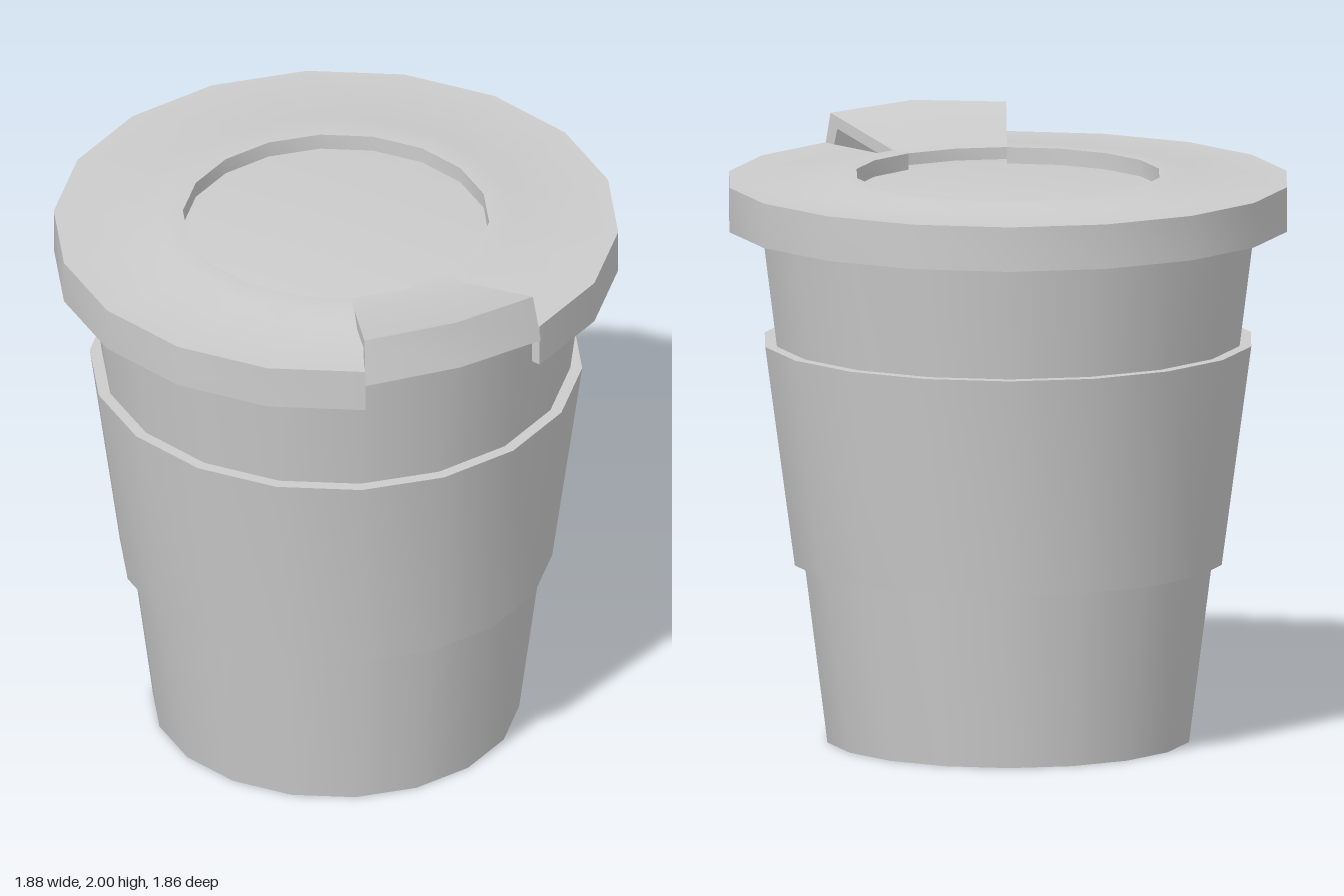
import * as THREE from 'three';
import { mergeGeometries, toCreasedNormals } from 'three/addons/utils/BufferGeometryUtils.js';

const SIDES = 18;
const STEP = (Math.PI * 2) / SIDES;
const CREASE = THREE.MathUtils.degToRad(32);
const material = new THREE.MeshStandardMaterial({ color: 0xcccccc, side: THREE.DoubleSide });

const toPoints = (list) => list.map(([r, y]) => new THREE.Vector2(r, y));

function bare(geometry) {
  const g = geometry.toNonIndexed();
  g.deleteAttribute('normal');
  g.deleteAttribute('uv');
  return g;
}

// Full revolution, profile listed with the outside on its right
function turned(profile) {
  return bare(new THREE.LatheGeometry(toPoints(profile), SIDES, Math.PI / 2));
}

// Part revolution of a closed profile, with both cut ends capped
function wedge(profile, start, segments) {
  const points = toPoints(profile);
  const length = segments * STEP;
  const body = new THREE.LatheGeometry([...points, points[0]], segments, start, length);
  const caps = [start, start + length].map((phi, i) => {
    const cap = new THREE.ShapeGeometry(new THREE.Shape(points));
    if (i === 1) cap.setIndex(Array.from(cap.index.array).reverse());
    return cap.rotateY(phi - Math.PI / 2);
  });
  return mergeGeometries([body, ...caps].map(bare));
}

export function createModel() {
  const group = new THREE.Group();
  const add = (name, geometry) => {
    const mesh = new THREE.Mesh(toCreasedNormals(geometry, CREASE), material);
    mesh.name = name;
    mesh.position.z = -0.01;
    group.add(mesh);
  };

  // Tapered cup with a recessed underside
  add('cup', turned([
    [0, 0.095], [0.575, 0.095], [0.575, 0], [0.61, 0], [0.835, 1.77], [0.79, 1.77],
  ]));

  // Grip band around the middle
  add('sleeve', turned([
    [0.68, 0.6], [0.72, 0.6], [0.82, 1.34], [0.775, 1.34],
  ]));

  // Inner lid: plug, drinking deck and sunken centre
  add('lidCentre', turned([
    [0.8, 1.76], [0.8, 1.81], [0.51, 1.845], [0, 1.845],
  ]));

  // Lid rim, open over two segments for the drinking flap
  add('lidRim', wedge([
    [0.905, 1.73], [0.94, 1.73], [0.94, 1.88], [0.67, 1.88], [0.59, 1.9],
    [0.51, 1.9], [0.51, 1.845], [0.905, 1.845],
  ], STEP / 2, SIDES - 2));

  // Drinking flap, folded up along a straight hinge line
  const flap = wedge([
    [0.91, -0.165], [0.947, -0.165], [0.91, 0], [0.59, 0],
    [0.51, 0], [0.51, -0.04], [0.59, -0.04], [0.875, -0.04],
  ], -1.5 * STEP, 2);
  const middle = -STEP / 2;
  const p = flap.attributes.position;
  for (let i = 0; i < p.count; i++) {
    const d = p.getX(i) * Math.sin(middle) + p.getZ(i) * Math.cos(middle);
    p.setY(i, p.getY(i) + 1.9 + Math.max(0, d - 0.56) * 0.285);
  }
  add('drinkingFlap', flap);

  return group;
}
